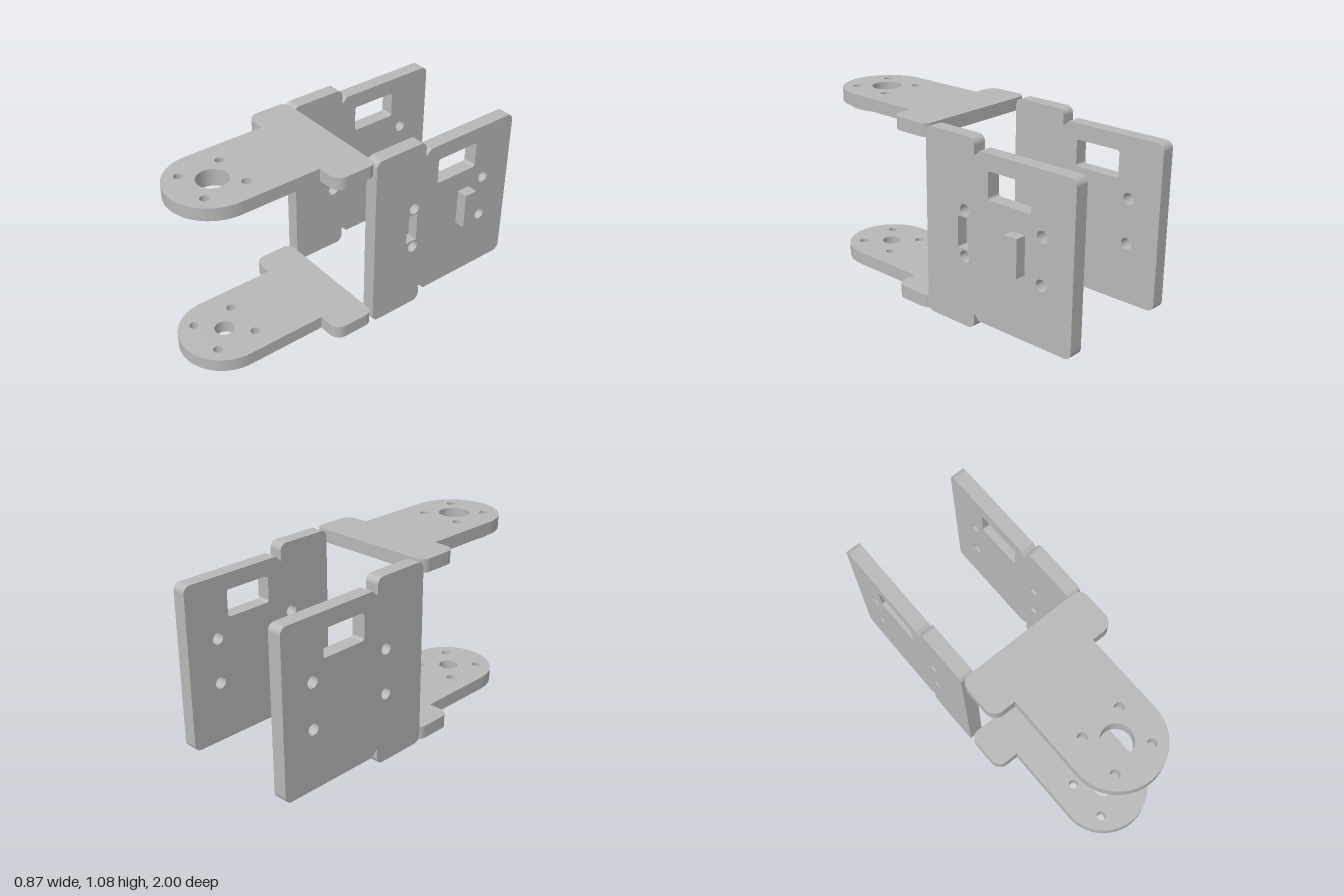
import * as THREE from 'three';

const metal = new THREE.MeshStandardMaterial({ color: 0xb8b8b8 });
metal.name = 'plain grey';

const CX = -0.033; // bracket centre line

// Closed shape from [x, y, cornerRadius] points
function rounded(points, Type = THREE.Shape) {
  const s = new Type();
  const n = points.length;
  points.forEach(([x, y, r = 0], i) => {
    const p = new THREE.Vector2(x, y);
    const toward = ([a, b]) => new THREE.Vector2(a, b).sub(p).normalize().multiplyScalar(r).add(p);
    const a = toward(points[(i + n - 1) % n]);
    const b = toward(points[(i + 1) % n]);
    if (i === 0) s.moveTo(a.x, a.y);
    else s.lineTo(a.x, a.y);
    if (r > 0) {
      // true circular fillet for right-angled corners
      const c = a.clone().add(b).sub(p);
      const a0 = Math.atan2(a.y - c.y, a.x - c.x);
      const a1 = Math.atan2(b.y - c.y, b.x - c.x);
      const cross = (p.x - a.x) * (b.y - p.y) - (p.y - a.y) * (b.x - p.x);
      s.absarc(c.x, c.y, r, a0, a1, cross < 0);
    }
  });
  s.closePath();
  return s;
}

const rect = (x0, x1, y0, y1, r = 0) =>
  rounded([[x0, y0, r], [x1, y0, r], [x1, y1, r], [x0, y1, r]], THREE.Path);

const hole = (x, y, r) => new THREE.Path().absarc(x, y, r, 0, Math.PI * 2, true);

const extrude = (shape, depth, curveSegments = 12) =>
  new THREE.ExtrudeGeometry(shape, { depth, bevelEnabled: false, curveSegments });

function part(name, geometry) {
  const m = new THREE.Mesh(geometry, metal);
  m.name = name;
  return m;
}

// Side plate layer between two x positions; shape x runs towards the back
function sideLayer(name, x0, x1, slot) {
  const s = rounded([
    [0, 0, 0.04], [0.345, 0, 0.04], [0.345, 0.06 + 0.001, 0],
    [0.345, 0.098, 0], [0.383, 0.06, 0],
    [1, 0.06, 0.04], [1, 1.015, 0.04],
    [0.383, 1.015, 0], [0.345, 0.98, 0],
    [0.345, 1.075, 0.04], [0, 1.075, 0.04],
  ].filter((_, i) => i !== 2));
  s.holes.push(rect(0.443, 0.727, 0.768, 0.923, 0.015));
  for (const u of [0.28, 0.802]) for (const v of [0.407, 0.668]) s.holes.push(hole(u, v, 0.034));
  if (slot) s.holes.push(rect(0.23, 0.304, 0.45, 0.628));
  return part(name, extrude(s, x1 - x0).rotateY(Math.PI / 2).translate(x0, 0, 0));
}

// Horizontal arm with a T-shaped root and a rounded tip
function arm(name, bottom, top, bore) {
  const w = 0.4015, n = 0.26, tipZ = 0.74;
  const half = (sx) => [[sx * w + CX, 0, 0.05], [sx * w + CX, 0.26, 0.065]];
  const [rb, rf] = half(1);
  const [lb, lf] = half(-1);
  const root = rounded([lb, rb, rf, [CX + n, 0.26], [CX + n, tipZ], [CX - n, tipZ], [CX - n, 0.26], lf]);
  // replace the straight tip edge by a half circle
  const i = root.curves.findIndex((c) => c.isLineCurve &&
    Math.abs(c.v1.y - tipZ) < 1e-6 && Math.abs(c.v2.y - tipZ) < 1e-6);
  root.curves[i] = new THREE.EllipseCurve(CX, tipZ, n, n, 0, Math.PI, false, 0);
  root.holes.push(hole(CX, tipZ, bore));
  for (const dx of [-0.123, 0.123]) for (const dz of [-0.123, 0.123])
    root.holes.push(hole(CX + dx, tipZ + dz, 0.026));
  return part(name, extrude(root, top - bottom, 16).rotateX(Math.PI / 2).translate(0, top, 0));
}

export function createModel() {
  const g = new THREE.Group();
  g.name = 'bracket';

  // Side plates; the left one has a blind slot on its outer face
  g.add(sideLayer('rightSidePlate', -0.435, -0.352, false));
  const left = new THREE.Group();
  left.name = 'leftSidePlate';
  left.add(sideLayer('leftPlateInner', 0.285, 0.303, false));
  left.add(sideLayer('leftPlateOuter', 0.303, 0.368, true));
  g.add(left);

  // Peg on the outside of the left plate
  g.add(part('peg', new THREE.BoxGeometry(0.064, 0.217, 0.082).translate(0.4, 0.538, -0.652)));

  // Arms
  g.add(arm('lowerArm', 0, 0.077, 0.056));
  g.add(arm('upperArm', 1.0, 1.075, 0.088));

  // Raised ring under the upper arm
  const ring = new THREE.Shape().absarc(CX, 0.74, 0.222, 0, Math.PI * 2, false);
  ring.holes.push(hole(CX, 0.74, 0.088));
  g.add(part('upperBoss', extrude(ring, 0.025, 16).rotateX(Math.PI / 2).translate(0, 1.0, 0)));

  return g;
}
